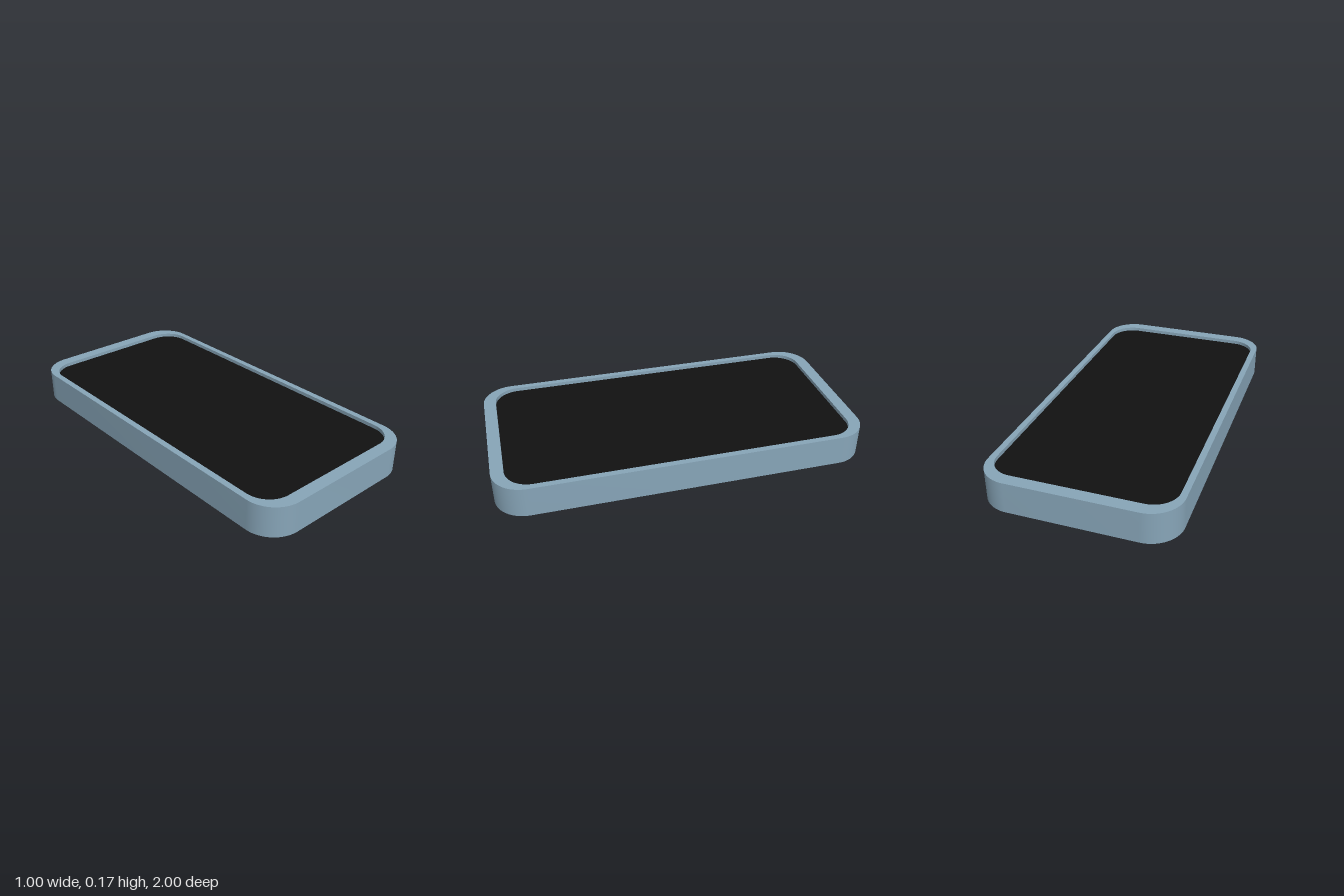
import * as THREE from 'three';
import { toCreasedNormals } from 'three/addons/utils/BufferGeometryUtils.js';

const HEIGHT = 0.167;
const RECESS = 0.02;
const SEGMENTS = 12;

// Rounded rectangle from half-width, half-length and corner radius
function roundedRect(w, l, r) {
  const s = new THREE.Shape();
  s.absarc(w - r, l - r, r, 0, Math.PI / 2);
  s.absarc(-w + r, l - r, r, Math.PI / 2, Math.PI);
  s.absarc(-w + r, -l + r, r, Math.PI, Math.PI * 1.5);
  s.absarc(w - r, -l + r, r, Math.PI * 1.5, Math.PI * 2);
  s.closePath();
  return s;
}

export function createModel() {
  const model = new THREE.Group();
  model.name = 'phone';
  const caseMaterial = new THREE.MeshStandardMaterial({ color: 0x87a5b8 });
  const screenMaterial = new THREE.MeshStandardMaterial({ color: 0x111111 });
  const add = (name, geometry, material) => {
    const mesh = new THREE.Mesh(geometry, material);
    mesh.name = name;
    model.add(mesh);
  };

  const opening = roundedRect(0.467, 0.933, 0.133);

  // Case wall with a raised rim around the opening
  const outline = roundedRect(0.5, 1, 0.167);
  outline.holes.push(opening);
  const frame = new THREE.ExtrudeGeometry(outline, {
    depth: HEIGHT, bevelEnabled: false, curveSegments: SEGMENTS,
  }).rotateX(-Math.PI / 2);
  add('caseFrame', toCreasedNormals(frame, Math.PI / 6), caseMaterial);

  // Back panel closing the underside
  add('backPanel', new THREE.ShapeGeometry(opening, SEGMENTS).rotateX(Math.PI / 2), caseMaterial);

  // Screen sunk just below the rim
  const screen = new THREE.ShapeGeometry(opening, SEGMENTS).rotateX(-Math.PI / 2);
  add('screen', screen.translate(0, HEIGHT - RECESS, 0), screenMaterial);

  return model;
}
